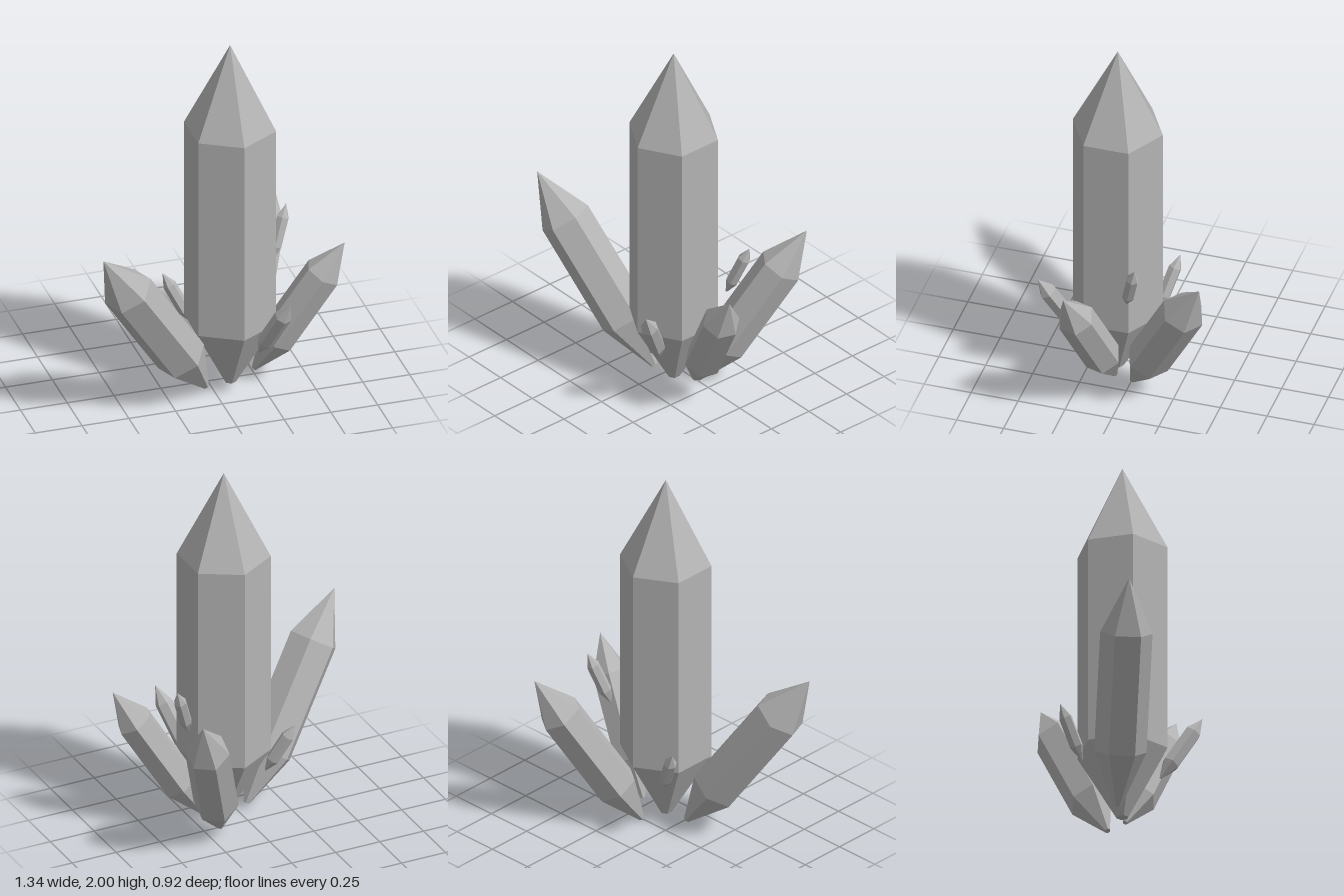
import * as THREE from 'three';

// Six-sided crystal: blunt root, straight shaft and pointed tip, running from base to tip
function crystal(name, material, base, tip, radius, rootPart = 0.24, shoulderPart = 0.76) {
  const from = new THREE.Vector3(...base);
  const axis = new THREE.Vector3(...tip).sub(from);
  const length = axis.length();
  axis.normalize();

  const profile = [
    [0, 0], [radius * 0.13, 0], [radius, rootPart * length],
    [radius, shoulderPart * length], [0, length],
  ].map(([r, y]) => new THREE.Vector2(r, y));
  const geometry = new THREE.LatheGeometry(profile, 6).toNonIndexed();
  geometry.computeVertexNormals(); // flat facets

  // One pair of shaft edges lies level, square to the lean
  const side = axis.clone().cross(new THREE.Vector3(0, 1, 0));
  if (side.lengthSq() < 1e-6) side.set(0, 0, 1);
  side.normalize();
  const across = axis.clone().cross(side);
  geometry.applyMatrix4(new THREE.Matrix4().makeBasis(across, axis, side).setPosition(from));

  const mesh = new THREE.Mesh(geometry, material);
  mesh.name = name;
  return mesh;
}

export function createModel() {
  const group = new THREE.Group();
  group.name = 'crystalCluster';
  const stone = new THREE.MeshStandardMaterial({ color: 0xb4b4b4 });
  stone.name = 'greyCrystal';

  // Upright centre crystal
  group.add(crystal('mainCrystal', stone, [0.09, 0.04, 0.095], [0.09, 2, 0.095], 0.24, 0.184, 0.758));

  // Leaning crystals around it
  group.add(
    crystal('rightLeaningCrystal', stone, [-0.045, 0.04, 0.11], [-0.672, 1.01, 0.362], 0.134),
    crystal('leftLeaningCrystal', stone, [0.225, 0.075, 0.068], [0.666, 0.81, 0.208], 0.099),
    crystal('backLeaningCrystal', stone, [0.16, 0.01, -0.005], [0.484, 0.883, -0.46], 0.116),
  );

  // Small shards
  group.add(
    crystal('frontShard', stone, [0.188, 0.283, 0.268], [0.3, 0.638, 0.457], 0.046),
    crystal('leftShard', stone, [0.355, 0.63, -0.033], [0.453, 0.908, -0.105], 0.034),
    crystal('rightShard', stone, [-0.062, 0.32, -0.076], [-0.194, 0.585, -0.15], 0.035),
  );
  return group;
}
